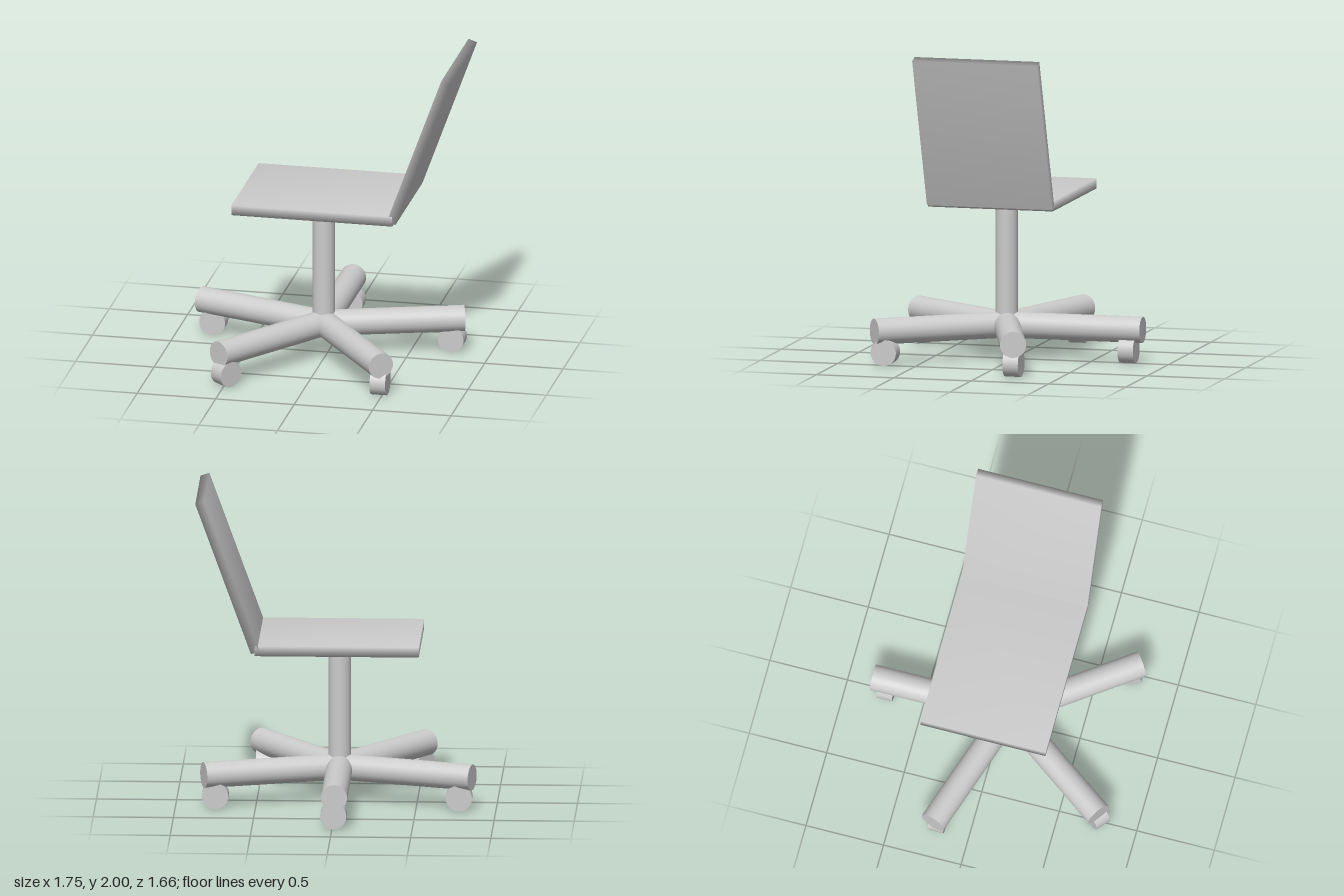
import * as THREE from 'three';
import { mergeVertices } from 'three/addons/utils/BufferGeometryUtils.js';

const HUB = new THREE.Vector3(-0.015, 0.21, 0.05);
const ARM_LENGTH = 0.88, ARM_RADIUS = 0.082;
const WHEEL_RADIUS = 0.082, WHEEL_WIDTH = 0.1;

export function createModel() {
  const model = new THREE.Group();
  model.name = 'swivelChair';
  const material = new THREE.MeshStandardMaterial({ color: 0xcccccc });

  const add = (name, geometry, x, y, z) => {
    const mesh = new THREE.Mesh(geometry, material);
    mesh.name = name;
    mesh.position.set(x, y, z);
    model.add(mesh);
    return mesh;
  };

  // Panel whose normals are shared across its edges, for soft shading
  const softPanel = (w, h, d) => {
    const box = new THREE.BoxGeometry(w, h, d);
    box.deleteAttribute('normal');
    box.deleteAttribute('uv');
    const geometry = mergeVertices(box);
    geometry.computeVertexNormals();
    return geometry;
  };

  // Seat and reclined backrest
  add('seat', softPanel(1.025, 0.064, 0.807), -0.0125, 1.043, 0.014);
  const backrest = add('backrest', softPanel(0.058, 1.016, 0.807), 0.667, 1.51, 0.014);
  backrest.rotation.z = -THREE.MathUtils.degToRad(20);

  // Central post, from the hub up to the seat
  const postHeight = 1.015 - HUB.y;
  add('post', new THREE.CylinderGeometry(0.07, 0.07, postHeight, 40), HUB.x, HUB.y + postHeight / 2, HUB.z);

  // Five arms radiating from the hub, the first pointing to the back
  const armGeometry = new THREE.CylinderGeometry(ARM_RADIUS, ARM_RADIUS, ARM_LENGTH, 40);
  armGeometry.rotateX(Math.PI / 2).translate(0, 0, ARM_LENGTH / 2);
  for (let i = 0; i < 5; i++) {
    const arm = add('baseArm' + (i + 1), armGeometry, HUB.x, HUB.y, HUB.z);
    arm.rotation.y = Math.PI + (i * Math.PI * 2) / 5;
  }

  // Caster wheels, each swivelled its own way: x, z, axle heading from +z towards +x
  const wheelGeometry = new THREE.CylinderGeometry(WHEEL_RADIUS, WHEEL_RADIUS, WHEEL_WIDTH, 40);
  wheelGeometry.rotateX(Math.PI / 2);
  const casters = [
    [-0.008, -0.74, 0],
    [-0.77, -0.205, 0],
    [-0.49, 0.733, 50],
    [0.482, 0.697, 90],
    [0.75, -0.205, 0],
  ];
  casters.forEach(([x, z, heading], i) => {
    const wheel = add('casterWheel' + (i + 1), wheelGeometry, x, WHEEL_RADIUS, z);
    wheel.rotation.y = THREE.MathUtils.degToRad(heading);
  });

  return model;
}
